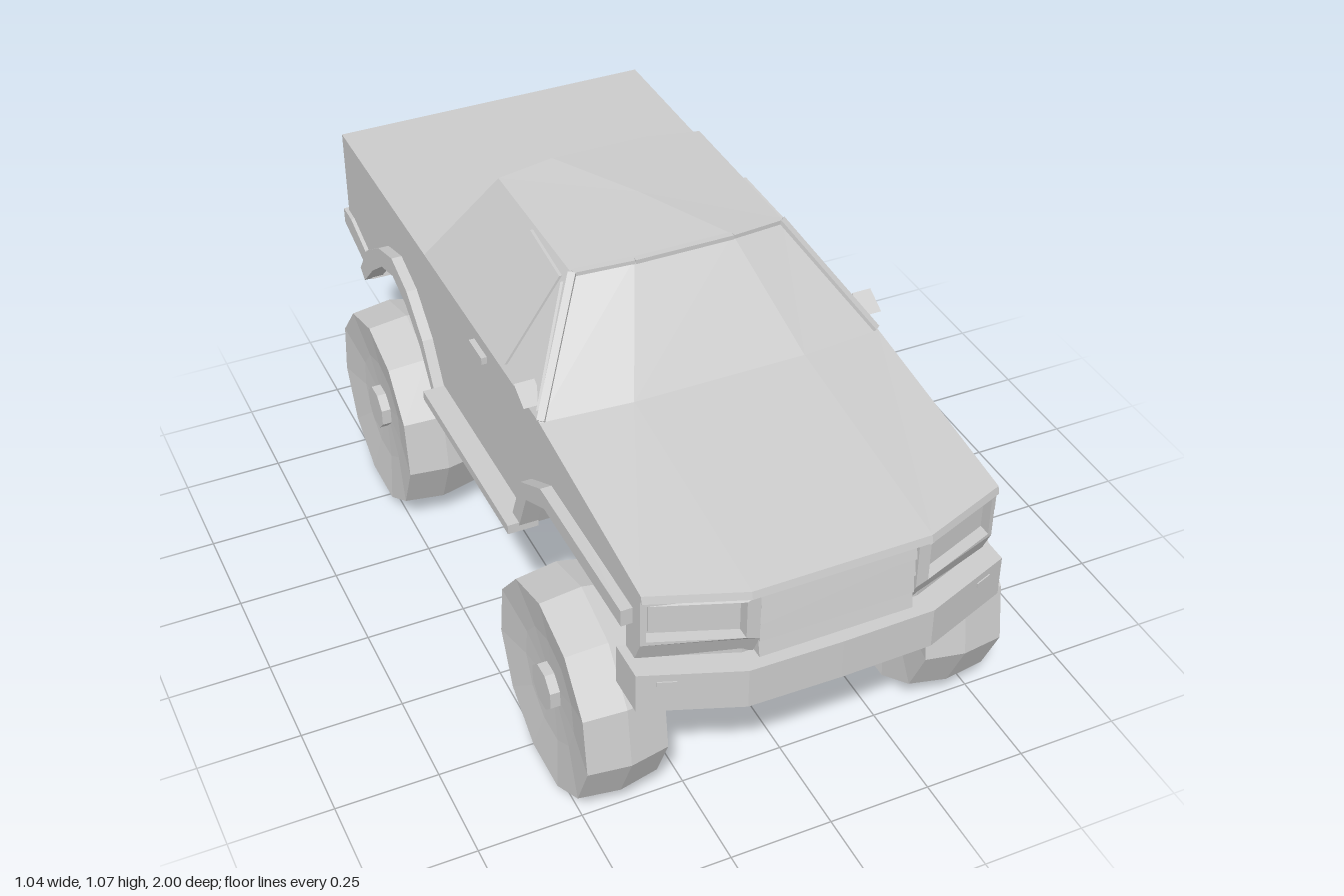
import * as THREE from 'three';

const grey = new THREE.MeshStandardMaterial({ color: 0xcccccc });
grey.name = 'plainGrey';

// Faceted shading for every part
function flat(geo) {
  const g = geo.index ? geo.toNonIndexed() : geo;
  g.computeVertexNormals();
  return g;
}

function add(parent, name, geo) {
  const mesh = new THREE.Mesh(flat(geo), grey);
  mesh.name = name;
  parent.add(mesh);
  return mesh;
}

// Move each vertex by a rule
function bend(geo, rule) {
  const p = geo.attributes.position, v = new THREE.Vector3();
  for (let i = 0; i < p.count; i++) {
    v.fromBufferAttribute(p, i);
    rule(v);
    p.setXYZ(i, v.x, v.y, v.z);
  }
  return geo;
}

// Swept-back nose in plan: ends further out sit further back
const sweep = (v) => { v.z -= Math.max(0, Math.abs(v.x) - 0.21) * 0.38; };

const shapeOf = (pts) => new THREE.Shape(pts.map(([a, b]) => new THREE.Vector2(a, b)));

// Side profile given as (z, y), extruded from x0 to x1
function profile(pts, x0, x1, steps = 1) {
  const g = new THREE.ExtrudeGeometry(shapeOf(pts), { depth: x1 - x0, steps, bevelEnabled: false });
  return g.rotateY(-Math.PI / 2).translate(x1, 0, 0);
}

// Box given by its limits
function box(x0, x1, y0, y1, z0, z1, segs = 1) {
  return new THREE.BoxGeometry(x1 - x0, y1 - y0, z1 - z0, segs, 1, 1)
    .translate((x0 + x1) / 2, (y0 + y1) / 2, (z0 + z1) / 2);
}

// Square bar between two points
function bar(a, b, t) {
  const p = new THREE.Vector3(...a), q = new THREE.Vector3(...b);
  const g = new THREE.BoxGeometry(t, t, p.distanceTo(q));
  const m = new THREE.Matrix4().lookAt(q, p, new THREE.Vector3(0, 1, 0));
  return g.applyMatrix4(m).translate((p.x + q.x) / 2, (p.y + q.y) / 2, (p.z + q.z) / 2);
}

// Cabin: base ring joined to roof ring, with a slightly domed roof
function cabinGeometry() {
  const base = [[-0.21, 0.835, 0.4], [0.21, 0.835, 0.4], [0.42, 0.82, 0.365], [0.42, 0.82, -0.36],
    [0.21, 0.82, -0.37], [-0.21, 0.82, -0.37], [-0.42, 0.82, -0.36], [-0.42, 0.82, 0.365]];
  const roof = [[-0.12, 1.067, 0.205], [0.12, 1.067, 0.205], [0.26, 1.053, 0.175], [0.26, 1.053, -0.255],
    [0.12, 1.067, -0.265], [-0.12, 1.067, -0.265], [-0.26, 1.053, -0.255], [-0.26, 1.053, 0.175]];
  const index = [];
  for (let i = 0; i < 8; i++) {
    const j = (i + 1) % 8;
    index.push(i, j, 8 + j, i, 8 + j, 8 + i, 8 + i, 8 + j, 16);
  }
  const g = new THREE.BufferGeometry();
  g.setAttribute('position', new THREE.Float32BufferAttribute([...base, ...roof, [0, 1.075, -0.03]].flat(), 3));
  g.setIndex(index);
  return g;
}

// Thin pane lying on the sloped cabin side
function pane(pts, side) {
  const g = profile(pts, -0.004, 0.004);
  return bend(g, (v) => { v.x += side * (0.423 - (v.y - 0.82) * 0.687); });
}

function wheelGeometry() {
  const section = [[0, 0.345], [0.14, 0.34], [0.25, 0.325], [0.267, 0.42], [0.255, 0.52], [0.14, 0.503], [0, 0.495]];
  return new THREE.LatheGeometry(section.map(([r, a]) => new THREE.Vector2(r, a)), 11, -Math.PI / 2)
    .rotateZ(-Math.PI / 2);
}

export function createModel() {
  const truck = new THREE.Group();
  truck.name = 'pickupTruck';

  // Body shell with wheel arches cut through
  const shell = profile([[0.94, 0.735], [0.98, 0.735], [0.975, 0.753], [0.4, 0.835], [0.3, 0.82], [-0.985, 0.82],
    [-0.985, 0.58], [-0.8, 0.5], [-0.72, 0.562], [-0.635, 0.626], [-0.545, 0.652], [-0.455, 0.622], [-0.365, 0.555],
    [-0.295, 0.468], [0.28, 0.468], [0.335, 0.59], [0.445, 0.648], [0.9, 0.648], [0.9, 0.555], [0.94, 0.555]],
  -0.42, 0.42, 4);
  add(truck, 'bodyShell', bend(shell, (v) => {
    const outer = Math.abs(v.x) > 0.3;
    if (v.z > 0.8) sweep(v);
    else if (outer && v.y > 0.83) { v.y = 0.82; v.z = 0.365; }
  }));
  add(truck, 'chassis', profile([[0.84, 0.42], [0.84, 0.7], [-0.77, 0.7], [-0.77, 0.47], [-0.75, 0.42]], -0.258, 0.258));

  // Cabin with windscreen frame
  add(truck, 'cabin', cabinGeometry());
  add(truck, 'windscreenHeader', bar([-0.12, 1.06, 0.205], [0.12, 1.06, 0.205], 0.016));

  // Grille with stepped slats
  const slats = [[0.93, 0.555]];
  [0.555, 0.598, 0.645, 0.69, 0.735].forEach((y, i, all) => {
    if (i < 4) slats.push([0.968, y], [0.96, all[i + 1]]);
  });
  slats.push([0.93, 0.735]);
  add(truck, 'grille', profile(slats, -0.183, 0.183));

  // Bumpers
  add(truck, 'frontBumper', bend(box(-0.44, 0.44, 0.452, 0.555, 0.9, 1, 4), sweep));
  add(truck, 'rearBumper', profile([[-1, 0.545], [-1, 0.587], [-0.94, 0.587], [-0.8, 0.54], [-0.79, 0.487]], -0.43, 0.43));

  // Axles, ending in wheel hubs
  for (const [z, label] of [[0.583, 'front'], [-0.545, 'rear']]) {
    add(truck, label + 'Axle', new THREE.CylinderGeometry(0.056, 0.056, 1.044, 8)
      .rotateY(Math.PI / 8).rotateZ(Math.PI / 2).translate(0, 0.262, z));
    for (const side of [1, -1]) {
      const wheel = add(truck, label + 'Wheel', wheelGeometry());
      wheel.position.set(0, 0.257, z);
      if (side < 0) wheel.rotation.y = Math.PI;
    }
  }

  for (const s of [1, -1]) {
    // Limits mirrored to the chosen side
    const sided = (a, b) => (s > 0 ? [a, b] : [-b, -a]);

    // Wheel-arch flares and running board
    add(truck, 'rearFlare', profile([[-0.275, 0.48], [-0.34, 0.585], [-0.44, 0.67], [-0.545, 0.705], [-0.65, 0.673],
      [-0.76, 0.6], [-0.83, 0.505], [-0.8, 0.483], [-0.72, 0.562], [-0.635, 0.626], [-0.545, 0.652], [-0.455, 0.622],
      [-0.365, 0.555], [-0.295, 0.465]], ...sided(0.4, 0.447)));
    add(truck, 'frontFlare', profile([[0.855, 0.69], [0.425, 0.69], [0.305, 0.62], [0.245, 0.485], [0.28, 0.465],
      [0.335, 0.59], [0.445, 0.648], [0.855, 0.648]], ...sided(0.4, 0.447)));
    add(truck, 'runningBoard', box(...sided(0.4, 0.475), 0.46, 0.485, -0.275, 0.285));

    // Headlight bezel, lens and the apron below
    const [b0, b1] = sided(0.185, 0.42), [h0, h1] = sided(0.215, 0.408);
    const frame = shapeOf([[b0, 0.612], [b1, 0.612], [b1, 0.735], [b0, 0.735]]);
    frame.holes.push(shapeOf([[h0, 0.622], [h0, 0.72], [h1, 0.72], [h1, 0.622]]));
    const bezel = new THREE.ExtrudeGeometry(frame, { depth: 0.035, bevelEnabled: false }).translate(0, 0, 0.935);
    add(truck, 'headlightBezel', bend(bezel, sweep));
    add(truck, 'headlight', bend(box(...sided(0.23, 0.395), 0.63, 0.712, 0.938, 0.946), sweep));
    add(truck, 'headlightApron', bend(profile([[0.93, 0.555], [0.943, 0.555], [0.97, 0.612], [0.93, 0.612]], b0, b1), sweep));
    add(truck, 'bumperMarker', bend(box(...sided(0.36, 0.4), 0.524, 0.536, 0.996, 1.003), sweep));

    // Windscreen pillars
    add(truck, 'windscreenPillar', bar([s * 0.414, 0.82, 0.362], [s * 0.256, 1.05, 0.176], 0.018));
    add(truck, 'headerCorner', bar([s * 0.12, 1.06, 0.205], [s * 0.256, 1.047, 0.176], 0.016));

    // Side windows, mirror and handle
    add(truck, 'quarterWindow', pane([[0.34, 0.835], [0.17, 0.835], [0.17, 1.03]], s));
    add(truck, 'doorWindow', pane([[0.155, 0.835], [0.155, 1.035], [-0.03, 1.045], [-0.03, 0.835]], s));
    add(truck, 'wingMirror', profile([[0.335, 0.845], [0.28, 0.875], [0.28, 0.845]], ...sided(0.395, 0.443)));
    add(truck, 'doorHandle', box(...sided(0.415, 0.434), 0.77, 0.788, -0.03, 0.05));

    // Tail light
    add(truck, 'tailLight', box(...sided(0.255, 0.4), 0.62, 0.7, -0.998, -0.98));
  }
  return truck;
}
